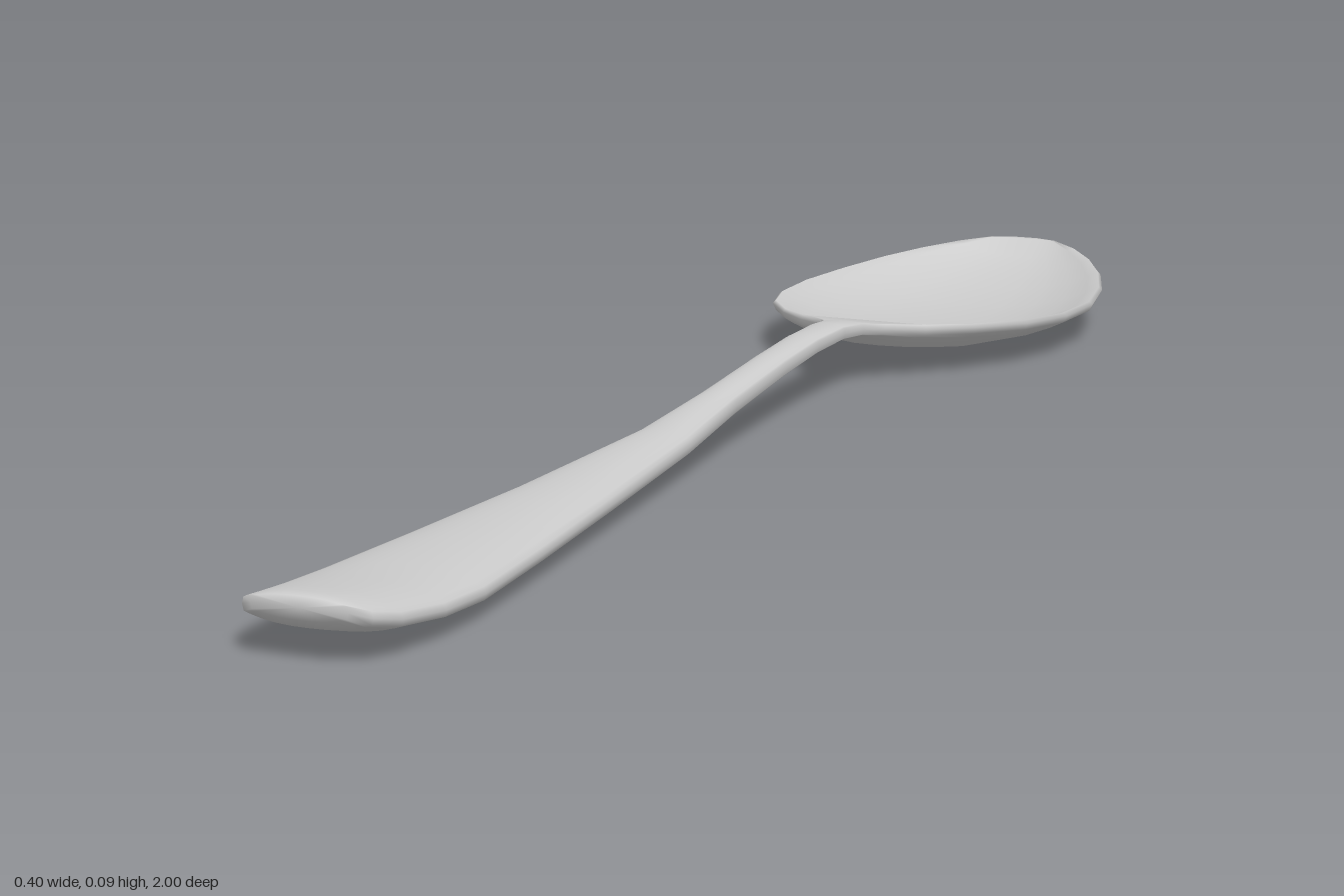
import * as THREE from 'three';

// Cross-sections from handle end to bowl tip: z, half width, edge y, top centre y, bottom centre y
const handle = [
  [1.0, 0.05, 0.057, 0.068, 0.045],
  [0.985, 0.068, 0.05, 0.069, 0.034],
  [0.95, 0.08, 0.042, 0.064, 0.024],
  [0.88, 0.088, 0.034, 0.055, 0.016],
  [0.8, 0.088, 0.03, 0.05, 0.012],
  [0.65, 0.075, 0.031, 0.05, 0.013],
  [0.45, 0.056, 0.034, 0.053, 0.015],
  [0.2, 0.034, 0.041, 0.06, 0.022],
  [0.05, 0.024, 0.055, 0.072, 0.037],
  [-0.1, 0.022, 0.069, 0.084, 0.054],
  [-0.2, 0.022, 0.076, 0.089, 0.063],
  [-0.28, 0.023, 0.077, 0.088, 0.066],
  [-0.33, 0.027, 0.073, 0.082, 0.062],
];
const bowl = [
  [-0.36, 0.042, 0.069, 0.072, 0.055],
  [-0.4, 0.082, 0.064, 0.059, 0.042],
  [-0.45, 0.127, 0.061, 0.046, 0.029],
  [-0.52, 0.17, 0.057, 0.033, 0.016],
  [-0.6, 0.194, 0.054, 0.024, 0.008],
  [-0.69, 0.198, 0.053, 0.02, 0.004],
  [-0.78, 0.181, 0.055, 0.022, 0.007],
  [-0.86, 0.153, 0.059, 0.031, 0.016],
  [-0.92, 0.12, 0.063, 0.043, 0.027],
  [-0.965, 0.083, 0.067, 0.056, 0.041],
  [-0.99, 0.046, 0.07, 0.068, 0.056],
  [-1.0, 0.018, 0.07, 0.074, 0.065],
];

const LIP = 0.006; // half thickness at the edge
const across = [0.975, 0.88, 0.72, 0.5, 0.25, 0, -0.25, -0.5, -0.72, -0.88, -0.975];

// Closed loop: left edge, over the top, right edge, back underneath
function section([z, w, edge, top, bottom]) {
  const surface = (u, rim, centre) => [u * w, rim + (centre - rim) * (1 - Math.abs(u) ** 2.6), z];
  return [
    [w, edge, z],
    ...across.map(u => surface(u, edge + LIP, Math.abs(top - edge) < LIP ? edge + LIP : top)),
    [-w, edge, z],
    ...across.map(u => surface(-u, edge - LIP, bottom)),
  ];
}

// Skin the loops and close both ends
function loft(rings) {
  const n = rings[0].length, points = rings.flat(), index = [];
  for (let i = 0; i < rings.length - 1; i++) {
    for (let j = 0; j < n; j++) {
      const k = (j + 1) % n;
      const a = i * n + j, b = i * n + k, c = a + n, d = b + n;
      index.push(a, c, b, b, c, d);
    }
  }
  const addCap = (start, front) => {
    const centre = points.length;
    const ring = points.slice(start, start + n);
    points.push([0, ring.reduce((sum, p) => sum + p[1], 0) / n, ring[0][2]]);
    for (let j = 0; j < n; j++) {
      const a = start + j, b = start + (j + 1) % n;
      index.push(centre, front ? a : b, front ? b : a);
    }
  };
  addCap(0, true);
  addCap((rings.length - 1) * n, false);
  const geometry = new THREE.BufferGeometry();
  geometry.setAttribute('position', new THREE.Float32BufferAttribute(points.flat(), 3));
  geometry.setIndex(index);
  geometry.computeVertexNormals();
  return geometry;
}

export function createModel() {
  const group = new THREE.Group();
  group.name = 'spoon';
  // Handle and bowl are one continuous skin
  const body = new THREE.Mesh(
    loft([...handle, ...bowl].map(section)),
    new THREE.MeshStandardMaterial({ color: 0xcccccc })
  );
  body.name = 'handleAndBowl';
  group.add(body);
  return group;
}
